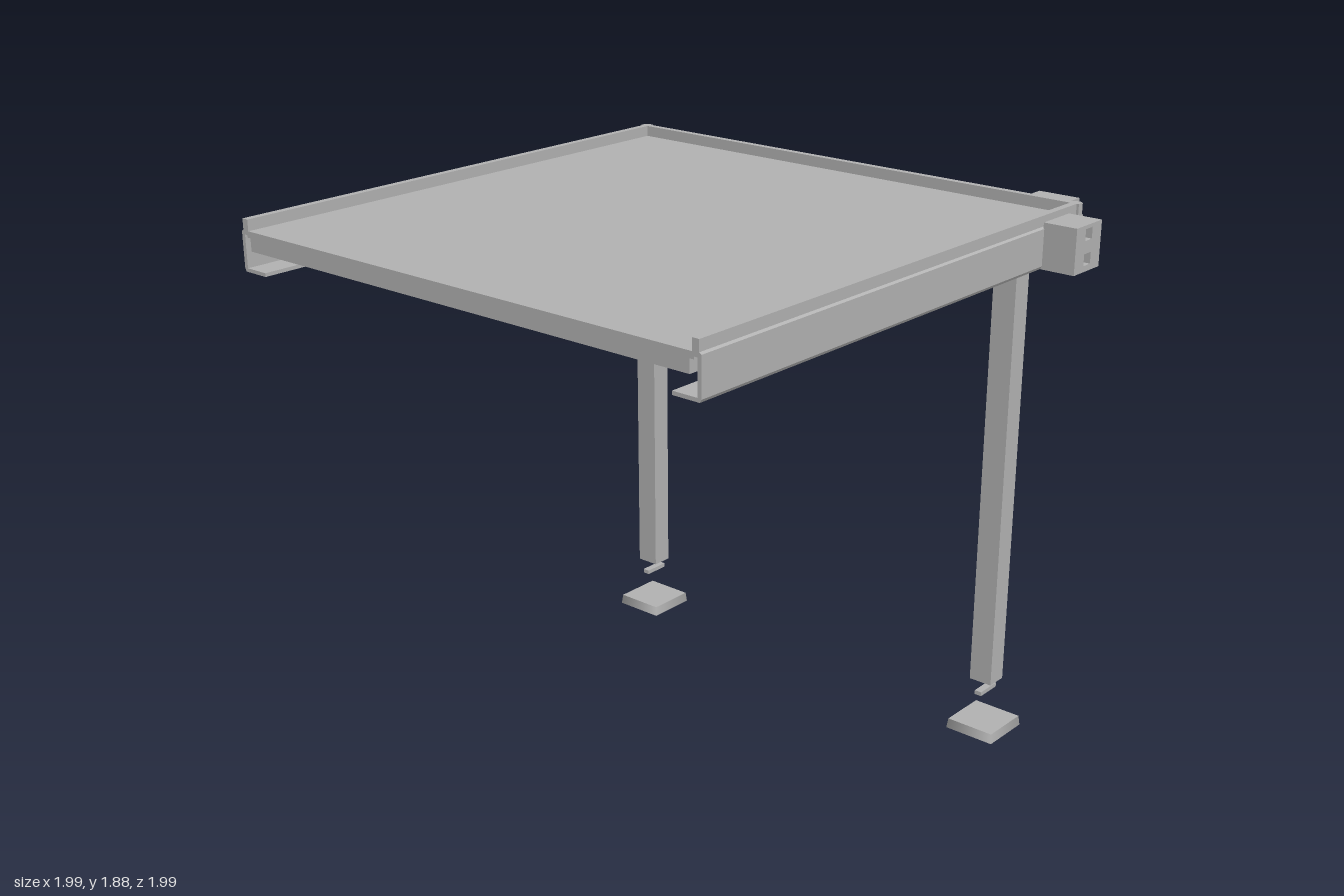
import * as THREE from 'three';

const metal = new THREE.MeshStandardMaterial({ color: 0xb2b2b2 });
metal.name = 'grey metal';

function add(parent, name, geometry, x = 0, y = 0, z = 0, turn = 0) {
  const mesh = new THREE.Mesh(geometry, metal);
  mesh.name = name;
  mesh.position.set(x, y, z);
  mesh.rotation.y = turn;
  parent.add(mesh);
  return mesh;
}

// box given by its limits on each axis
function block(parent, name, x0, x1, y0, y1, z0, z1) {
  return add(parent, name, new THREE.BoxGeometry(x1 - x0, y1 - y0, z1 - z0),
    (x0 + x1) / 2, (y0 + y1) / 2, (z0 + z1) / 2);
}

const outline = (points) => new THREE.Shape(points.map(([x, y]) => new THREE.Vector2(x, y)));
const extrude = (shape, depth) => new THREE.ExtrudeGeometry(shape, { depth, bevelEnabled: false });

// edge beam section: x runs inward from the outer face
const beamSection = outline([
  [0.006, 1.71], [0.1, 1.71], [0.1, 1.722], [0.014, 1.722], [0.014, 1.83], [0.032, 1.83],
  [0.032, 1.88], [0.008, 1.88], [0.008, 1.845], [0, 1.84], [0, 1.72],
]);

// square beam stub with two square sockets in its end
function stubGeometry() {
  const shape = outline([[-0.075, 0], [0.075, 0], [0.075, 0.15], [-0.075, 0.15]]);
  for (const y of [0.02, 0.1]) {
    shape.holes.push(new THREE.Path([
      [-0.02, y], [-0.02, y + 0.038], [0.02, y + 0.038], [0.02, y],
    ].map(([a, b]) => new THREE.Vector2(a, b))));
  }
  return extrude(shape, 0.118);
}

// post with foot, levelling plate and head bracket
function makePost(name, z) {
  const post = new THREE.Group();
  post.name = name;
  post.position.set(0.7125, 0, z);
  block(post, 'column', -0.0375, 0.0375, 0.19, 1.7, -0.0425, 0.0425);
  block(post, 'levellingPlate', -0.0475, 0.0475, 0.142, 0.157, -0.013, 0.013);
  const foot = new THREE.CylinderGeometry(0.0885 * Math.SQRT2, 0.0925 * Math.SQRT2, 0.035, 4);
  foot.rotateY(Math.PI / 4);
  add(post, 'footPlate', foot.toNonIndexed(), 0, 0.0175, 0);
  block(post, 'headPlate', -0.0475, 0.0675, 1.695, 1.71, -0.055, 0.1);
  block(post, 'headLip', 0.052, 0.0675, 1.682, 1.71, -0.015, 0.1);
  return post;
}

export function createModel() {
  const model = new THREE.Group();

  // roof deck and the joists under it
  block(model, 'deck', -1, 0.845, 1.822, 1.843, -0.975, 0.845);
  block(model, 'middleJoist', -0.09, -0.05, 1.75, 1.822, -0.98, 0.85);
  block(model, 'edgeJoist', -1, -0.965, 1.78, 1.822, -0.96, 0.83);

  // edge beams on three sides, the left side of the deck stays open
  const beam = extrude(beamSection, 1.87);
  add(model, 'frontBeam', beam, -1, 0, 0.87, Math.PI / 2);
  add(model, 'backBeam', beam, 0.87, 0, -1, -Math.PI / 2);
  add(model, 'sideBeam', beam, 0.87, 0, 0.87, Math.PI);

  // beam stubs at the front corner
  const stub = stubGeometry();
  add(model, 'frontStub', stub, 0.71, 1.71, 0.867);
  add(model, 'sideStub', stub, 0.867, 1.71, 0.713, Math.PI / 2);

  // triangular corner plates over the posts
  for (const [name, z, s] of [['frontCornerPlate', 0.855, 1], ['backCornerPlate', -0.985, -1]]) {
    const corner = [[0.855, 0], [0.555, 0], [0.555, -0.06 * s], [0.795, -0.3 * s], [0.855, -0.3 * s]];
    const plate = extrude(outline(corner.map(([x, d]) => [x, -(z + d)])), 0.01);
    plate.rotateX(-Math.PI / 2);
    add(model, name, plate, 0, 1.713, 0);
  }

  // posts
  model.add(makePost('frontPost', 0.716), makePost('backPost', -0.84));
  return model;
}
